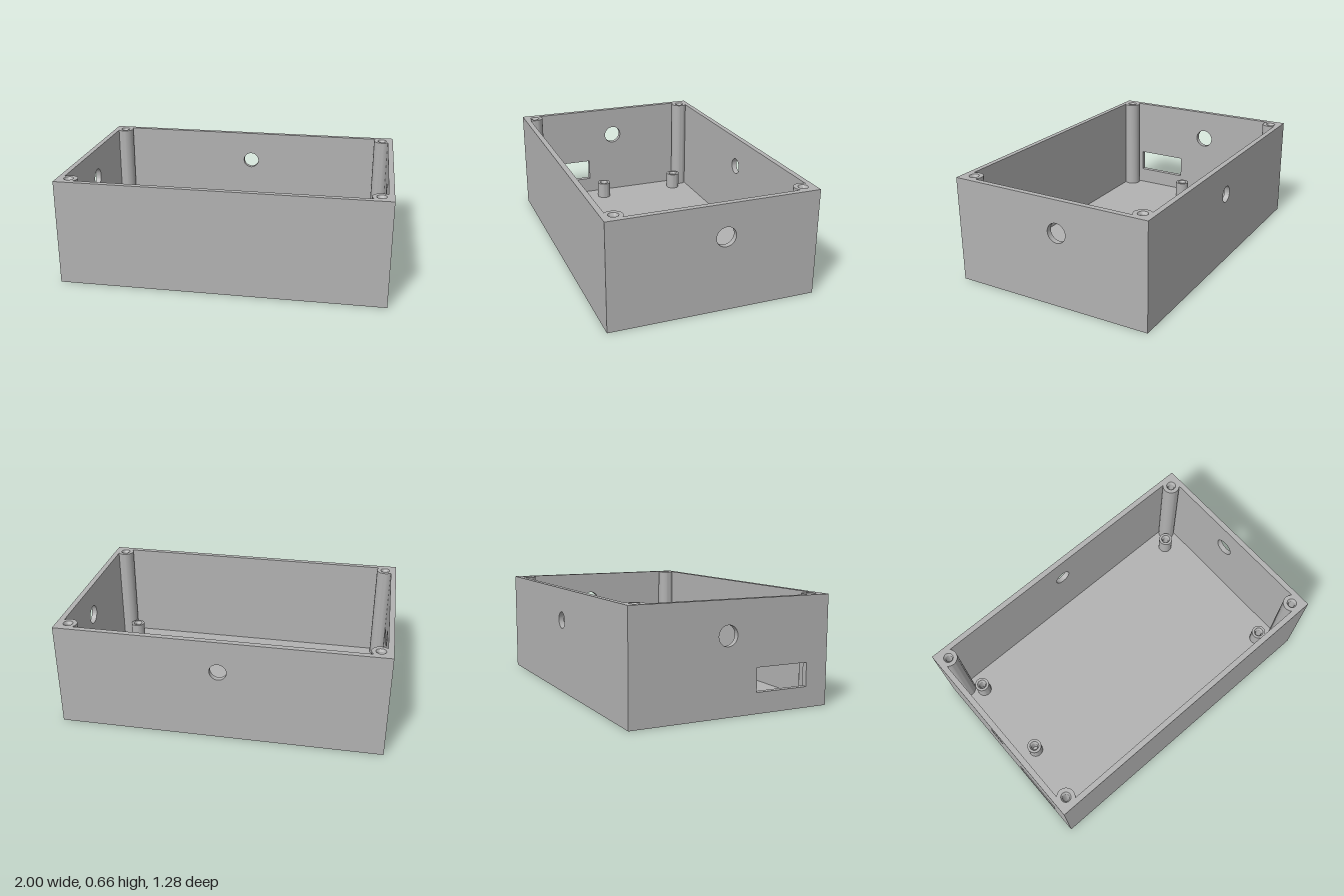
import * as THREE from 'three';
import { toCreasedNormals } from 'three/addons/utils/BufferGeometryUtils.js';

const HX = 1, HZ = 0.638, H = 0.66; // half width, half depth, height
const WALL = 0.034, FLOOR = 0.02;

// Upright wall panel drawn in (u, y), thickness along z
function panel(halfWidth, holes) {
  const shape = new THREE.Shape();
  shape.moveTo(-halfWidth, FLOOR);
  shape.lineTo(halfWidth, FLOOR);
  shape.lineTo(halfWidth, H);
  shape.lineTo(-halfWidth, H);
  shape.closePath();
  shape.holes.push(...holes);
  const geo = new THREE.ExtrudeGeometry(shape, { depth: WALL, bevelEnabled: false, curveSegments: 32 });
  return toCreasedNormals(geo, 0.6);
}

function roundHole(u, y, r) {
  const path = new THREE.Path();
  path.absarc(u, y, r, 0, Math.PI * 2, true);
  return path;
}

function rectHole(u0, u1, y0, y1) {
  const path = new THREE.Path();
  path.moveTo(u0, y0);
  path.lineTo(u0, y1);
  path.lineTo(u1, y1);
  path.lineTo(u1, y0);
  path.closePath();
  return path;
}

// Round pillar with a countersunk screw bore
function pillar(radius, top, boreBottom) {
  const pts = [
    [radius, FLOOR], [radius, top], [0.03, top],
    [0.02, top - 0.015], [0.02, boreBottom], [0, boreBottom],
  ].map(([x, y]) => new THREE.Vector2(x, y));
  return toCreasedNormals(new THREE.LatheGeometry(pts, 40), 0.6);
}

export function createModel() {
  const group = new THREE.Group();
  group.name = 'enclosure';
  const grey = new THREE.MeshStandardMaterial({ color: 0xb2b2b2 });
  grey.name = 'grey plastic';

  const add = (name, geo, x, y, z, turn = 0) => {
    const mesh = new THREE.Mesh(geo, grey);
    mesh.name = name;
    mesh.position.set(x, y, z);
    mesh.rotation.y = turn;
    group.add(mesh);
  };

  // Floor slab
  add('floor', new THREE.BoxGeometry(HX * 2, FLOOR, HZ * 2), 0, FLOOR / 2, 0);

  // Long walls: plain front, back with a small cable hole
  add('frontWall', panel(HX, []), 0, 0, HZ - WALL);
  add('backWall', panel(HX, [roundHole(0, 0.46, 0.052)]), 0, 0, -HZ);

  // Short walls, where u runs along -z
  const side = HZ - WALL;
  add('leftWall', panel(side, [roundHole(0.06, 0.46, 0.06)]), HX - WALL, 0, 0, Math.PI / 2);
  add('rightWall', panel(side, [
    roundHole(0.035, 0.46, 0.06),
    rectHole(-0.495, -0.155, 0.125, 0.268),
  ]), -HX, 0, 0, Math.PI / 2);

  // Lid screw posts in the corners
  const post = pillar(0.055, H, 0.3);
  for (const sx of [-1, 1]) {
    for (const sz of [-1, 1]) add('cornerPost', post, sx * 0.927, 0, sz * 0.566);
  }

  // Circuit board standoffs
  const standoff = pillar(0.046, 0.13, FLOOR + 0.002);
  for (const [x, z] of [[-0.842, -0.485], [0.842, -0.485], [-0.842, 0.08], [0.842, 0.478]]) {
    add('standoff', standoff, x, 0, z);
  }
  return group;
}
